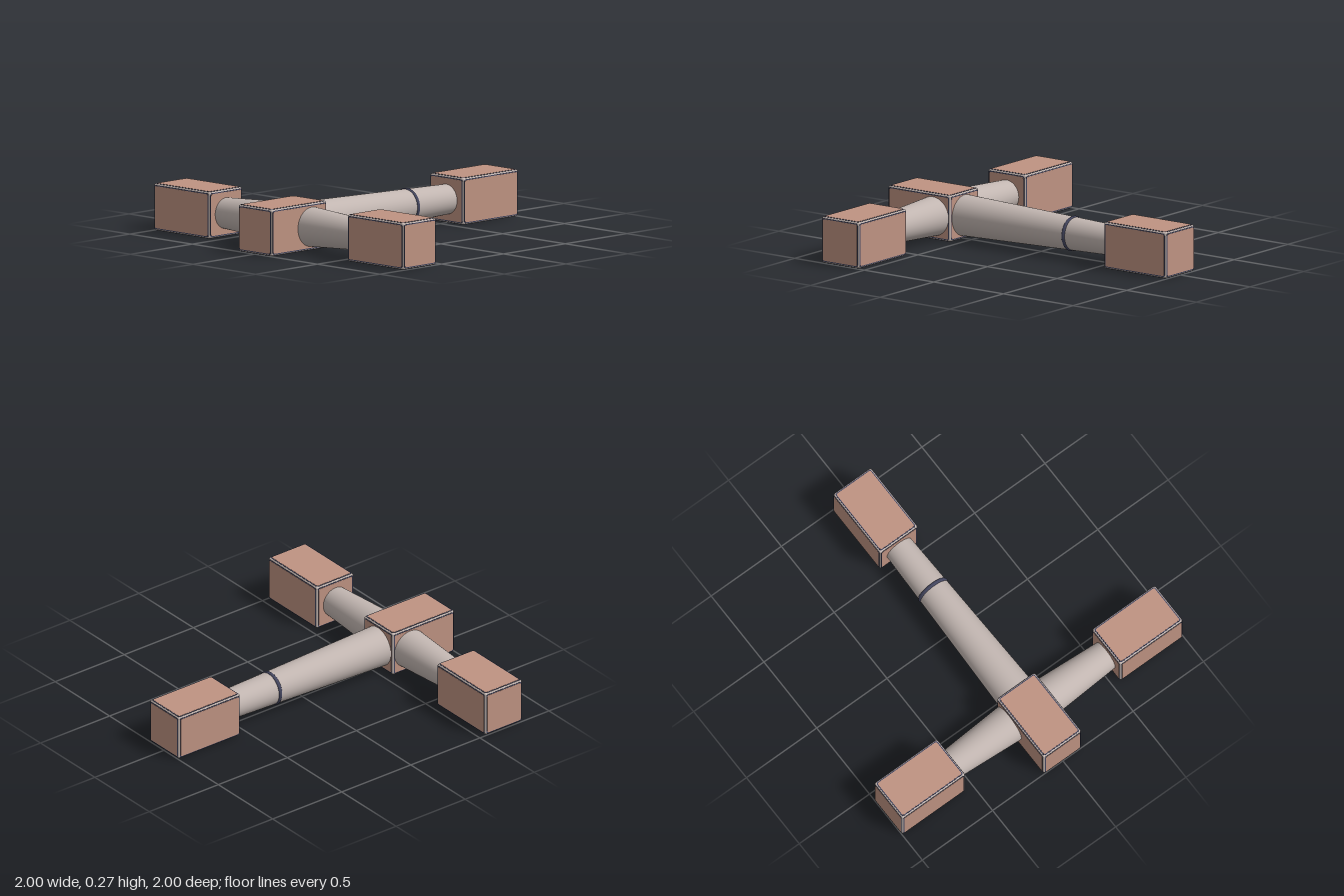
import * as THREE from 'three';
import { RoundedBoxGeometry } from 'three/addons/geometries/RoundedBoxGeometry.js';

const mat = (name, color) => {
  const m = new THREE.MeshStandardMaterial({ color });
  m.name = name;
  return m;
};

const MID_Y = 0.137;   // height of all arm axes
const SIDE = 0.272;    // square section of a block
const LENGTH = 0.45;   // length of a block

export function createModel() {
  const clay = mat('clay panel', 0xbf9382);
  const stone = mat('warm grey', 0xc2b6b1);
  const navy = mat('dark seam', 0x44465f);

  const add = (parent, name, geometry, material, x = 0, y = 0, z = 0) => {
    const mesh = new THREE.Mesh(geometry, material);
    mesh.name = name;
    mesh.position.set(x, y, z);
    parent.add(mesh);
    return mesh;
  };

  // Thin rounded plate centred on the origin, rising from z = 0
  const plate = (w, h, r, depth) => {
    const s = new THREE.Shape();
    const x = w / 2, y = h / 2;
    s.moveTo(-x + r, -y);
    s.lineTo(x - r, -y);
    s.quadraticCurveTo(x, -y, x, -y + r);
    s.lineTo(x, y - r);
    s.quadraticCurveTo(x, y, x - r, y);
    s.lineTo(-x + r, y);
    s.quadraticCurveTo(-x, y, -x, y - r);
    s.lineTo(-x, -y + r);
    s.quadraticCurveTo(-x, -y, -x + r, -y);
    return new THREE.ExtrudeGeometry(s, { depth, bevelEnabled: false, curveSegments: 4 });
  };

  // Block along z: grey rounded frame, dark seam and clay panel on each face
  const block = (name) => {
    const g = new THREE.Group();
    g.name = name;
    add(g, 'frame', new RoundedBoxGeometry(SIDE - 0.004, SIDE - 0.004, LENGTH - 0.004, 3, 0.011), stone);
    const face = (w, h, dist, rx, ry) => {
      const f = new THREE.Group();
      f.name = 'face';
      f.rotation.set(rx, ry, 0);
      add(f, 'seam', plate(w - 0.019, h - 0.019, 0.012, 0.003), navy, 0, 0, dist - 0.004);
      add(f, 'panel', plate(w - 0.03, h - 0.03, 0.01, 0.004), clay, 0, 0, dist - 0.004);
      g.add(f);
    };
    const q = Math.PI / 2;
    face(SIDE, SIDE, LENGTH / 2, 0, 0);
    face(SIDE, SIDE, LENGTH / 2, 0, Math.PI);
    face(LENGTH, SIDE, SIDE / 2, 0, q);
    face(LENGTH, SIDE, SIDE / 2, 0, -q);
    face(SIDE, LENGTH, SIDE / 2, -q, 0);
    face(SIDE, LENGTH, SIDE / 2, q, 0);
    return g;
  };

  const model = new THREE.Group();
  model.name = 'jointedCross';

  // Four blocks at the hub and arm ends
  const END = 1 - LENGTH / 2, CROSS_Z = 0.675;
  for (const [name, x, z, turn] of [
    ['hubBlock', 0, END, 0],
    ['backBlock', 0, -END, 0],
    ['leftBlock', END, CROSS_Z, Math.PI / 2],
    ['rightBlock', -END, CROSS_Z, -Math.PI / 2],
  ]) {
    const b = block(name);
    b.position.set(x, MID_Y, z);
    b.rotation.y = turn;
    model.add(b);
  }

  // Long tapered arm, narrow end to the back
  const longArm = add(model, 'longArm', new THREE.CylinderGeometry(0.119, 0.086, 1.12, 48), stone, 0, MID_Y, 0);
  longArm.rotation.x = Math.PI / 2;

  // Dark ring around the long arm
  add(model, 'armRing', new THREE.TorusGeometry(0.089, 0.013, 12, 48), navy, 0, MID_Y, -0.23);

  // Short tapered arms, narrow ends outwards
  for (const side of [1, -1]) {
    const arm = add(model, side > 0 ? 'leftArm' : 'rightArm',
      new THREE.CylinderGeometry(0.088, 0.115, 0.45, 48), stone, side * 0.34, MID_Y, CROSS_Z);
    arm.rotation.z = -side * Math.PI / 2;
  }
  return model;
}
